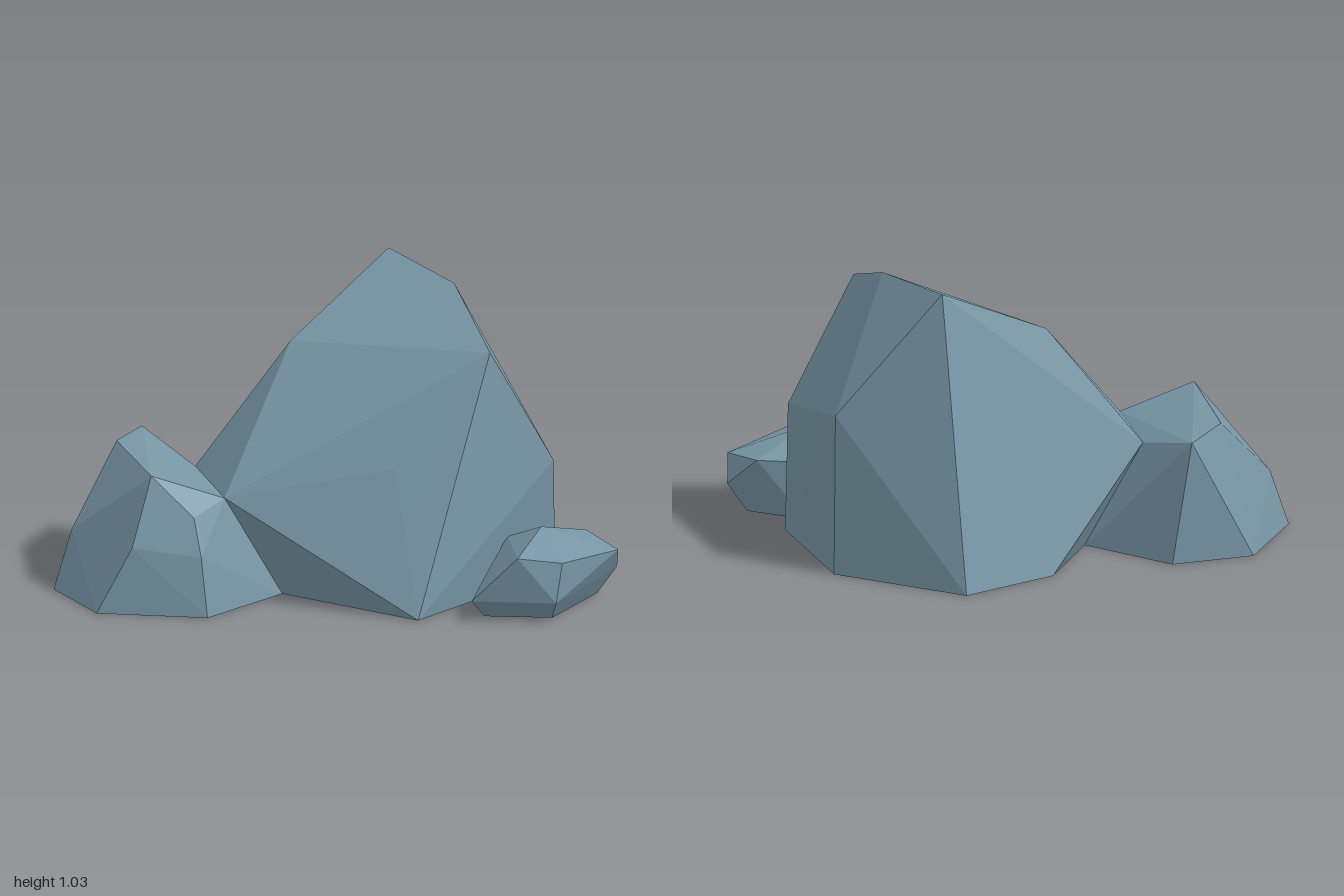
import * as THREE from 'three';
import { ConvexGeometry } from 'three/addons/geometries/ConvexGeometry.js';

// Faceted boulder from its corners; faces lying wholly in an 'open' test are left out.
function boulder(name, corners, material, isOpen) {
  const hull = new ConvexGeometry(corners.map((c) => new THREE.Vector3(...c)));
  const pos = hull.getAttribute('position');
  const kept = [];
  for (let i = 0; i < pos.count; i += 3) {
    const tri = [0, 1, 2].map((k) => new THREE.Vector3().fromBufferAttribute(pos, i + k));
    if (isOpen && isOpen(tri)) continue;
    tri.forEach((v) => kept.push(v.x, v.y, v.z));
  }
  const geometry = new THREE.BufferGeometry();
  geometry.setAttribute('position', new THREE.Float32BufferAttribute(kept, 3));
  geometry.computeVertexNormals();
  const mesh = new THREE.Mesh(geometry, material);
  mesh.name = name;
  return mesh;
}

export function createModel() {
  const group = new THREE.Group();
  group.name = 'rockCluster';
  const stone = new THREE.MeshStandardMaterial({
    color: 0x7896a6, flatShading: true, side: THREE.DoubleSide,
  });
  stone.name = 'blue grey stone';

  // Corners shared by the large and medium rocks where they join
  const seam = [
    [-0.39, 0.375, 0.435], [-0.52, 0.37, 0.08], [-0.32, 0, 0.02], [-0.19, 0, 0.37],
  ];
  const onSeam = (v) => seam.some((s) => v.distanceTo(new THREE.Vector3(...s)) < 1e-4);
  const openBase = (tri) => tri.every((v) => v.y < 1e-4) || tri.every(onSeam);

  // Large rock
  group.add(boulder('largeRock', [
    ...seam,
    // base
    [0.31, 0, 0.625], [0.755, 0, 0.065], [0.51, 0, -0.455], [0.01, 0, -0.655], [-0.26, 0, -0.37],
    // shoulders
    [0.755, 0.445, 0.14], [0.51, 0.575, -0.42], [0.215, 0.497, 0.427],
    // crown
    [-0.19, 0.81, -0.03], [0.13, 1.035, -0.41], [0.385, 1.015, -0.1], [0.54, 0.89, 0.28],
  ], stone, openBase));

  // Medium rock
  group.add(boulder('mediumRock', [
    ...seam,
    // base
    [-1, 0, 0.38], [-0.83, 0, 0.63], [-0.435, 0, 0.652], [-0.93, 0, -0.03], [-0.66, 0, -0.175],
    // sides
    [-0.94, 0.21, 0.33], [-0.705, 0.24, 0.608], [-0.46, 0.21, 0.612],
    // crown
    [-0.8, 0.455, 0.07], [-0.645, 0.475, 0.505], [-0.49, 0.34, 0.558], [-0.725, 0.44, -0.14],
  ], stone, openBase));

  // Small rock
  group.add(boulder('smallRock', [
    // base
    [0.54, 0, 0.56], [0.78, 0, 0.56], [0.92, 0, 0.28], [0.7, 0, 0.205], [0.55, 0, 0.3],
    // sides
    [0.5, 0.078, 0.63], [0.8, 0.078, 0.63], [0.99, 0.1, 0.275], [0.54, 0.13, 0.49],
    // crown
    [0.73, 0.285, 0.4], [0.665, 0.25, 0.655], [0.82, 0.22, 0.605], [1, 0.19, 0.355],
    [0.875, 0.21, 0.205], [0.75, 0.21, 0.205], [0.6, 0.2, 0.27],
  ], stone));

  return group;
}
